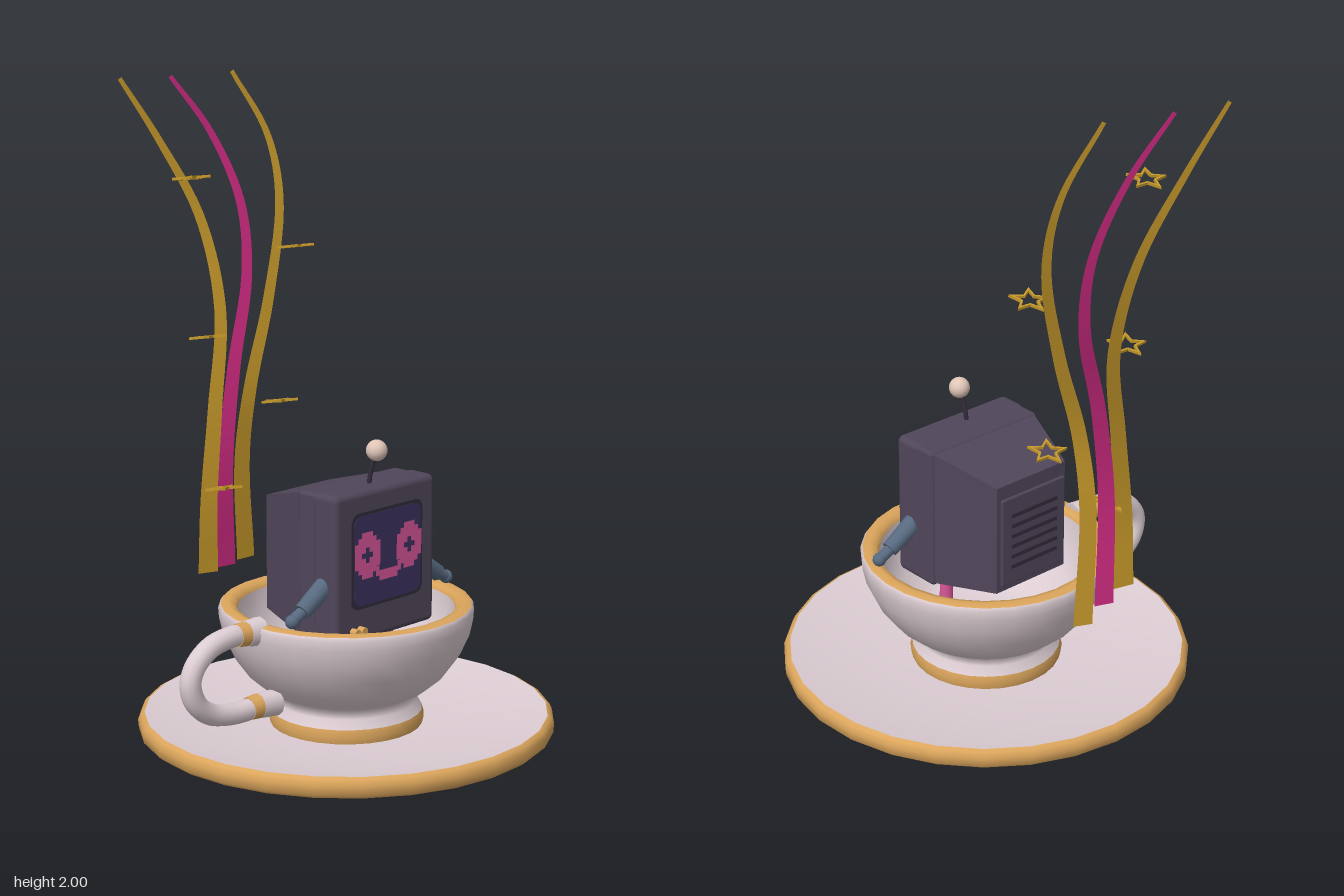
import * as THREE from 'three';
import { mergeGeometries } from 'three/addons/utils/BufferGeometryUtils.js';
import { RoundedBoxGeometry } from 'three/addons/geometries/RoundedBoxGeometry.js';

const V = (x, y, z = 0) => new THREE.Vector3(x, y, z);

function material(name, color, side = THREE.FrontSide) {
  const m = new THREE.MeshStandardMaterial({ color, side });
  m.name = name;
  return m;
}

function add(parent, name, geometry, mat, x = 0, y = 0, z = 0) {
  const mesh = new THREE.Mesh(geometry, mat);
  mesh.name = name;
  mesh.position.set(x, y, z);
  parent.add(mesh);
  return mesh;
}

const lathe = (pts, seg = 28) =>
  new THREE.LatheGeometry(pts.map(([r, y]) => new THREE.Vector2(r, y)), seg);

const tube = (pts, radius, seg = 24) =>
  new THREE.TubeGeometry(new THREE.CatmullRomCurve3(pts), seg, radius, 12);

// Cylinder running from one point to another
function rod(parent, name, a, b, r0, r1, mat) {
  const mesh = add(parent, name, new THREE.CylinderGeometry(r1, r0, a.distanceTo(b), 12), mat);
  mesh.position.copy(a).lerp(b, 0.5);
  mesh.quaternion.setFromUnitVectors(V(0, 1), b.clone().sub(a).normalize());
}

function roundedRect(w, h, r) {
  const s = new THREE.Shape();
  const x = w / 2, y = h / 2;
  s.absarc(x - r, y - r, r, 0, Math.PI / 2);
  s.absarc(-x + r, y - r, r, Math.PI / 2, Math.PI);
  s.absarc(-x + r, -y + r, r, Math.PI, Math.PI * 1.5);
  s.absarc(x - r, -y + r, r, Math.PI * 1.5, Math.PI * 2);
  return s;
}

// Flat ribbon that narrows along its path
function ribbon(pts, w0, w1, n = 40) {
  const curve = new THREE.CatmullRomCurve3(pts.map(p => V(...p)));
  const pos = [], idx = [];
  for (let i = 0; i <= n; i++) {
    const t = i / n, p = curve.getPoint(t), d = curve.getTangent(t);
    const side = V(d.y, -d.x, 0).normalize().multiplyScalar((w0 + (w1 - w0) * t) / 2);
    pos.push(p.x - side.x, p.y - side.y, p.z, p.x + side.x, p.y + side.y, p.z);
    if (i < n) idx.push(2 * i, 2 * i + 1, 2 * i + 3, 2 * i, 2 * i + 3, 2 * i + 2);
  }
  const g = new THREE.BufferGeometry();
  g.setAttribute('position', new THREE.Float32BufferAttribute(pos, 3));
  g.setIndex(idx);
  g.computeVertexNormals();
  return g;
}

function starPoints(r) {
  return Array.from({ length: 10 }, (_, i) => {
    const a = i * Math.PI / 5 + Math.PI / 2, k = i % 2 ? r * 0.45 : r;
    return new THREE.Vector2(Math.cos(a) * k, Math.sin(a) * k);
  });
}

export function createModel() {
  const model = new THREE.Group();
  model.name = 'teacupRobot';
  const porcelain = material('porcelain', 0xdccdd3);
  const trim = material('gold trim', 0xdba55c);
  const gold = material('ribbon gold', 0xc4972a, THREE.DoubleSide);
  const magenta = material('ribbon magenta', 0xcc2a80, THREE.DoubleSide);
  const shell = material('robot shell', 0x50465a);
  const dark = material('dark detail', 0x332c3c);
  const glass = material('screen', 0x3b3260);
  const pink = material('face pink', 0xd9569a);
  const steel = material('arm steel', 0x586a80);
  const cream = material('antenna cream', 0xe0c6b8);

  // Saucer
  const saucer = new THREE.Group();
  saucer.name = 'saucer';
  model.add(saucer);
  add(saucer, 'saucerUnderside', lathe([[0, 0], [0.3, 0.01], [0.54, 0.028], [0.612, 0.055]]), porcelain);
  add(saucer, 'saucerRim', lathe([[0.612, 0.055], [0.628, 0.068], [0.63, 0.095], [0.622, 0.112], [0.61, 0.118]]), trim);
  add(saucer, 'saucerTop', lathe([[0.61, 0.118], [0.5, 0.1], [0.3, 0.08], [0, 0.075]]), porcelain);

  // Cup
  const cup = new THREE.Group();
  cup.name = 'cup';
  model.add(cup);
  add(cup, 'footBand', lathe([[0.23, 0.075], [0.236, 0.1], [0.23, 0.122]]), trim);
  add(cup, 'cupOutside', lathe([[0.23, 0.122], [0.214, 0.15], [0.208, 0.175], [0.25, 0.196], [0.3, 0.238],
    [0.345, 0.3], [0.372, 0.36], [0.383, 0.41], [0.385, 0.44], [0.378, 0.45]]), porcelain);
  add(cup, 'cupRim', lathe([[0.378, 0.45], [0.355, 0.456], [0.335, 0.45], [0.328, 0.435]]), trim);
  add(cup, 'cupInside', lathe([[0.328, 0.435], [0.318, 0.36], [0.28, 0.27], [0.2, 0.21], [0.1, 0.19], [0, 0.187]]), porcelain);

  // Handle
  const handle = new THREE.Group();
  handle.name = 'handle';
  handle.rotation.y = -2.904;
  model.add(handle);
  add(handle, 'handleLoop', tube([V(0.4, 0.433), V(0.46, 0.436), V(0.54, 0.42), V(0.597, 0.375), V(0.615, 0.325),
    V(0.595, 0.265), V(0.54, 0.221), V(0.46, 0.203), V(0.36, 0.203)], 0.032, 40), porcelain);
  rod(handle, 'upperJoint', V(0.35, 0.43), V(0.405, 0.433), 0.044, 0.038, porcelain);
  rod(handle, 'upperBand', V(0.402, 0.433), V(0.44, 0.435), 0.037, 0.034, trim);
  rod(handle, 'lowerJoint', V(0.29, 0.2), V(0.36, 0.204), 0.04, 0.037, porcelain);
  rod(handle, 'lowerBand', V(0.355, 0.204), V(0.395, 0.204), 0.037, 0.034, trim);

  // Robot, turned slightly to its left; its front face lies at local z = 0
  const robot = new THREE.Group();
  robot.name = 'robot';
  robot.position.set(0.045, 0, 0.158);
  robot.rotation.y = 0.283;
  model.add(robot);
  add(robot, 'frontCase', new RoundedBoxGeometry(0.43, 0.455, 0.1, 3, 0.02), shell, 0, 0.608, -0.05);
  add(robot, 'middleCase', new RoundedBoxGeometry(0.42, 0.45, 0.09, 2, 0.012), shell, 0, 0.606, -0.115);

  // Tapered rear housing
  const rear = new THREE.BoxGeometry(0.41, 0.44, 0.22).toNonIndexed();
  const p = rear.attributes.position;
  for (let i = 0; i < p.count; i++) {
    if (p.getZ(i) < 0) {
      p.setX(i, p.getX(i) * 0.66);
      p.setY(i, p.getY(i) > 0 ? 0.162 : -0.19);
    }
  }
  rear.computeVertexNormals();
  add(robot, 'rearHousing', rear, shell, 0, 0.608, -0.255);
  add(robot, 'backPanel', new RoundedBoxGeometry(0.25, 0.29, 0.012, 2, 0.005), shell, 0, 0.585, -0.373);
  for (let i = 0; i < 6; i++)
    add(robot, 'backVent', new THREE.BoxGeometry(0.18, 0.012, 0.006), dark, 0, 0.5 + i * 0.034, -0.38);

  // Screen and pixel face
  add(robot, 'screenFrame', new THREE.ExtrudeGeometry(roundedRect(0.305, 0.29, 0.03), { depth: 0.004, bevelEnabled: false }), dark, 0, 0.628, 0);
  add(robot, 'screen', new THREE.ExtrudeGeometry(roundedRect(0.285, 0.27, 0.03), { depth: 0.004, bevelEnabled: false }), glass, 0, 0.628, 0.002);
  const px = 0.0155, pixels = [];
  const pixel = (x, y) => pixels.push(new THREE.PlaneGeometry(px, px).translate(x, y, 0.008));
  for (const s of [-1, 1])
    for (let i = -3; i <= 3; i++)
      for (let j = -4; j <= 4; j++) {
        const d = Math.hypot(i, j * 0.87);
        if (d > 1.3 && d < 3.7) pixel(s * 0.09 + i * px, 0.643 + j * px);
      }
  for (let i = -3; i <= 3; i++) {
    const lift = Math.abs(i) === 3 ? 1 : 0;
    pixel(i * px, 0.564 + lift * px);
    pixel(i * px, 0.564 + (lift + 1) * px);
  }
  add(robot, 'pixelFace', mergeGeometries(pixels), pink);

  // Front knobs, arms and feet
  for (const x of [-0.145, -0.115]) {
    const knob = add(robot, 'knob', new THREE.CylinderGeometry(0.012, 0.012, 0.03, 12), trim, x, 0.42, 0.008);
    knob.rotation.x = Math.PI / 2;
  }
  for (const s of [-1, 1]) {
    const arm = new THREE.Group();
    arm.name = s > 0 ? 'leftArm' : 'rightArm';
    robot.add(arm);
    const shoulder = V(s * 0.2, 0.56, -0.06), wrist = V(s * 0.295, 0.5, -0.06), hand = V(s * 0.335, 0.48, -0.06);
    rod(arm, 'sleeve', shoulder, wrist, 0.03, 0.026, steel);
    rod(arm, 'forearm', wrist, hand, 0.018, 0.018, steel);
    add(arm, 'hand', new THREE.SphereGeometry(0.021, 12, 8), steel, hand.x, hand.y, hand.z);
    rod(robot, 'leg', V(s * 0.09, 0.23, -0.08), V(s * 0.09, 0.4, -0.08), 0.022, 0.018, pink);
  }

  // Antenna
  add(robot, 'antennaStem', tube([V(-0.012, 0.83, -0.06), V(-0.01, 0.87, -0.055), V(-0.005, 0.93, -0.038)], 0.007, 8), dark);
  add(robot, 'antennaBall', new THREE.SphereGeometry(0.032, 16, 12), cream, -0.005, 0.936, -0.036);

  // Rising steam ribbons
  const steam = new THREE.Group();
  steam.name = 'steam';
  model.add(steam);
  add(steam, 'outerRibbon', ribbon([[-0.245, 0.47, -0.43], [-0.242, 0.7, -0.425], [-0.205, 0.98, -0.45], [-0.155, 1.28, -0.505],
    [-0.195, 1.56, -0.555], [-0.32, 1.8, -0.575], [-0.445, 1.99, -0.58]], 0.068, 0.014), gold);
  add(steam, 'middleRibbon', ribbon([[-0.15, 0.465, -0.49], [-0.168, 0.8, -0.455], [-0.125, 1.1, -0.475], [-0.048, 1.38, -0.53],
    [-0.05, 1.6, -0.565], [-0.14, 1.82, -0.59], [-0.27, 1.99, -0.595]], 0.062, 0.014), magenta);
  add(steam, 'innerRibbon', ribbon([[-0.045, 0.46, -0.56], [-0.078, 0.8, -0.515], [-0.06, 1.03, -0.49], [0.02, 1.3, -0.515],
    [0.085, 1.6, -0.56], [0.06, 1.8, -0.59], [-0.055, 1.998, -0.605]], 0.062, 0.014), gold);

  // Floating star outlines
  const star = new THREE.Shape(starPoints(0.06));
  star.holes.push(new THREE.Path(starPoints(0.043).reverse()));
  const starGeo = new THREE.ExtrudeGeometry(star, { depth: 0.008, bevelEnabled: false });
  starGeo.rotateX(-Math.PI / 2).rotateY(0.25).rotateX(-0.18);
  const spots = [[-0.33, 1.705, -0.345], [0.085, 1.46, -0.46], [-0.27, 1.22, -0.367], [0.02, 0.98, -0.45], [-0.21, 0.74, -0.39]];
  for (const s of spots) add(steam, 'star', starGeo, gold, ...s);

  return model;
}
